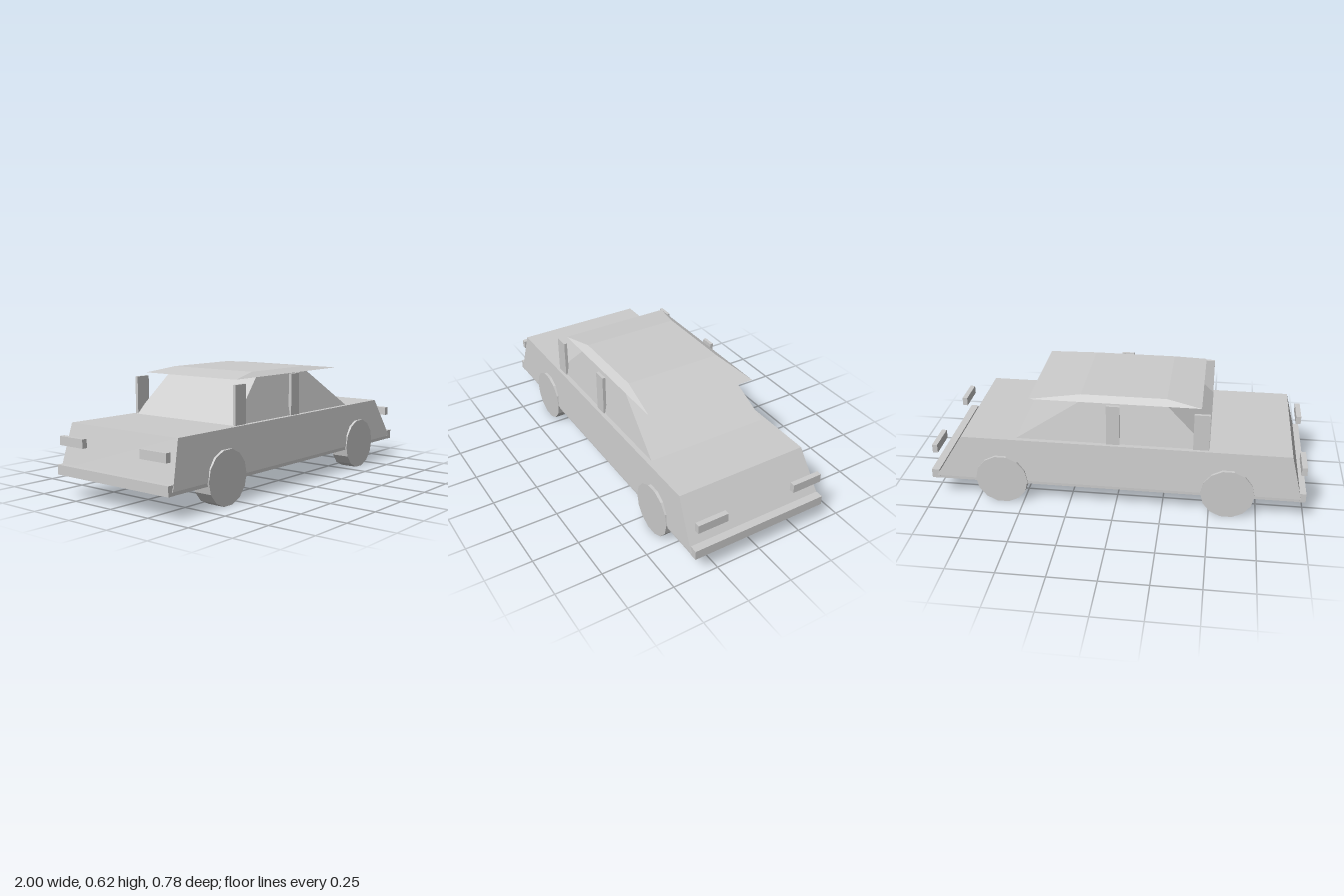
import * as THREE from 'three';

const paint = new THREE.MeshStandardMaterial({ color: 0xcccccc });
paint.name = 'light grey';

function add(parent, name, geometry, x = 0, y = 0, z = 0) {
  const mesh = new THREE.Mesh(geometry, paint);
  mesh.name = name;
  mesh.position.set(x, y, z);
  parent.add(mesh);
}

// Box given by its limits on each axis
function addBox(parent, name, [x0, x1], [y0, y1], [z0, z1]) {
  add(parent, name, new THREE.BoxGeometry(x1 - x0, y1 - y0, z1 - z0),
    (x0 + x1) / 2, (y0 + y1) / 2, (z0 + z1) / 2);
}

// Tapered block: a box whose lower and upper rectangles are set separately
function taperedBlock(low, high) {
  const box = new THREE.BoxGeometry(1, 1, 1).toNonIndexed();
  const p = box.attributes.position;
  for (let i = 0; i < p.count; i++) {
    const s = p.getY(i) > 0 ? high : low;
    p.setXYZ(i, p.getX(i) > 0 ? s.x1 : s.x0, s.y, Math.sign(p.getZ(i)) * s.z);
  }
  box.computeVertexNormals();
  return box;
}

export function createModel() {
  const car = new THREE.Group();
  car.name = 'car';

  // Lower body and the floor under it
  add(car, 'body', taperedBlock(
    { x0: -0.975, x1: 0.97, y: 0.137, z: 0.387 },
    { x0: -0.915, x1: 0.825, y: 0.372, z: 0.365 }));
  addBox(car, 'floor', [-0.98, 0.98], [0.117, 0.137], [-0.38, 0.38]);

  // Cabin and overhanging roof
  add(car, 'cabin', taperedBlock(
    { x0: -0.49, x1: 0.53, y: 0.372, z: 0.34 },
    { x0: -0.26, x1: 0.185, y: 0.594, z: 0.298 }));
  add(car, 'roof', taperedBlock(
    { x0: -0.44, x1: 0.46, y: 0.593, z: 0.312 },
    { x0: -0.26, x1: 0.19, y: 0.617, z: 0.271 }));

  // Bumpers
  addBox(car, 'rearBumper', [-1, -0.967], [0.117, 0.168], [-0.382, 0.382]);
  addBox(car, 'frontBumper', [0.957, 1], [0.117, 0.168], [-0.382, 0.382]);

  for (const side of [-1, 1]) {
    const span = (a, b) => side > 0 ? [a, b] : [-b, -a];

    // Upright window pillars
    addBox(car, 'middlePillar', [-0.022, 0.048], [0.372, 0.594], span(0.331, 0.348));
    addBox(car, 'rearPillar', [-0.488, -0.405], [0.372, 0.573], span(0.331, 0.348));

    // Lamps
    addBox(car, 'rearLamp', [-0.994, -0.966], [0.268, 0.314], span(0.197, 0.365));
    addBox(car, 'headlamp', [0.961, 0.989], [0.264, 0.311], span(0.195, 0.364));

    // Wheels with a flat facet at the bottom
    for (const x of [-0.595, 0.612]) {
      const wheel = new THREE.CylinderGeometry(0.141, 0.141, 0.1, 14, 1, false, Math.PI / 2)
        .rotateX(Math.PI / 2).toNonIndexed();
      wheel.computeVertexNormals();
      add(car, 'wheel', wheel, x, 0.1375, side * 0.34);
    }
  }
  return car;
}
